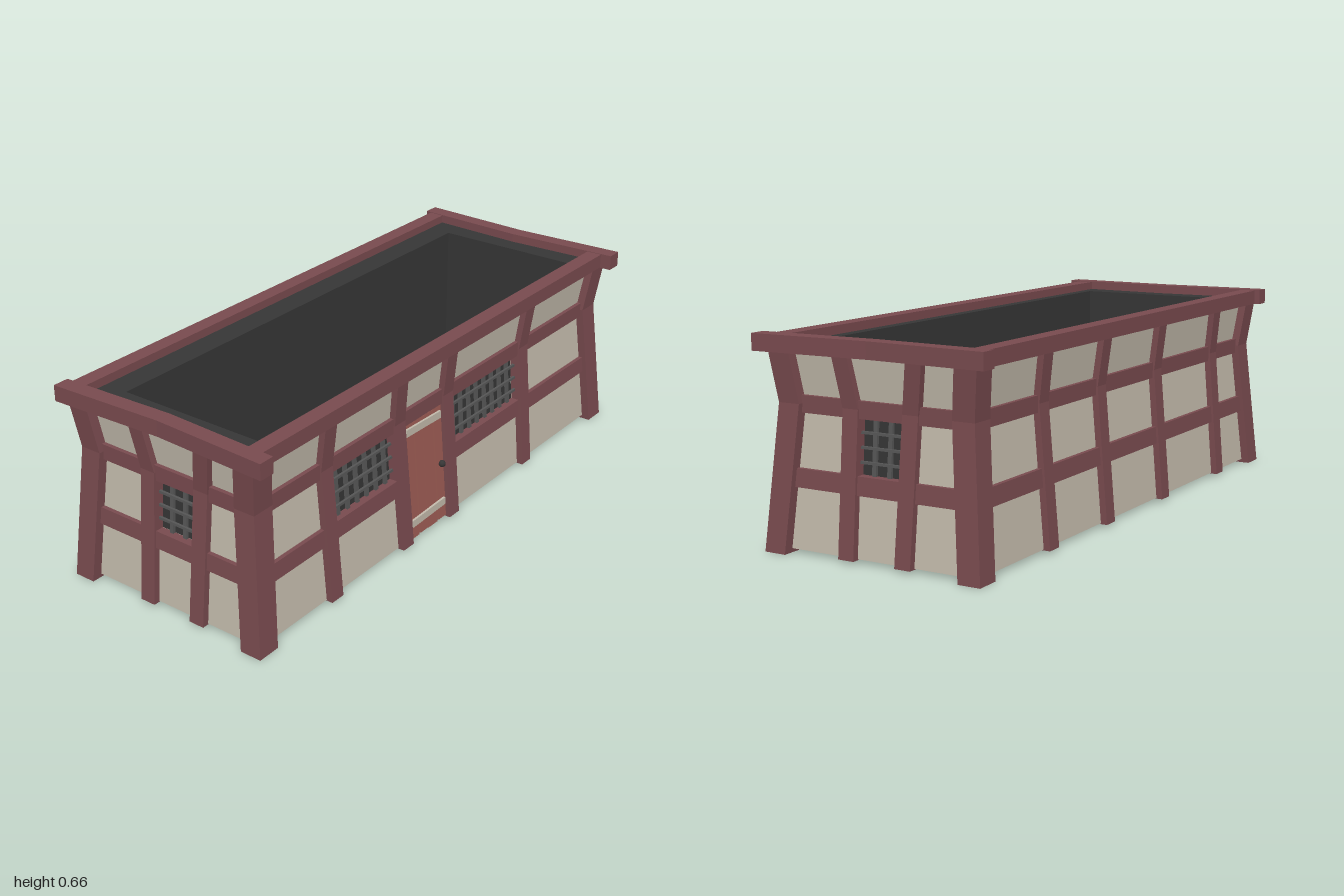
import * as THREE from 'three';

const paint = (name, color) => {
  const m = new THREE.MeshStandardMaterial({ color });
  m.name = name;
  return m;
};

// The walls lean in up to BEND and flare out again above it
const BEND = 0.455, TOP = 0.612, BASE = 0.013;
const flare = (y) => y < BEND ? -0.038 * y / BEND
  : -0.038 + 0.02 * (y - BEND) / (TOP - BEND);

function reshape(geometry, rule) {
  const g = geometry.index ? geometry.toNonIndexed() : geometry;
  const p = g.attributes.position;
  for (let i = 0; i < p.count; i++) p.setXYZ(i, ...rule(p.getX(i), p.getY(i), p.getZ(i)));
  g.computeVertexNormals();
  return g;
}

function rectPath(Type, x0, x1, y0, y1) {
  return new Type([[x0, y0], [x1, y0], [x1, y1], [x0, y1]].map((p) => new THREE.Vector2(...p)));
}

export function createModel() {
  const timber = paint('timber', 0x784a4e);
  const plaster = paint('plaster', 0xc1b9aa);
  const dark = paint('darkInterior', 0x363636);
  const iron = paint('iron', 0x555555);
  const doorRed = paint('doorWood', 0x9a5a52);
  const model = new THREE.Group();
  model.name = 'timberFramedHouse';

  const add = (parent, name, geometry, material) => {
    const mesh = new THREE.Mesh(geometry, material);
    mesh.name = name;
    parent.add(mesh);
    return mesh;
  };

  // One side of the house: u runs along the wall, d points outward
  function makeSide(name, turn, base, half) {
    const group = new THREE.Group();
    group.name = name;
    group.rotation.y = turn;
    model.add(group);

    // Box lying on the leaning wall, from depth d0 to d1
    const slab = (part, u0, u1, y0, y1, d0, d1, material) =>
      add(group, part, reshape(new THREE.BoxGeometry(1, 1, 1), (a, b, c) => {
        const y = b < 0 ? y0 : y1;
        return [a < 0 ? u0 : u1, y, base + flare(y) + (c < 0 ? d0 : d1)];
      }), material);

    // Bent post with its centre at the bottom, the bend and the top
    const post = (centres, width = 0.055) =>
      add(group, 'wallPost', reshape(new THREE.BoxGeometry(1, 1, 1, 1, 2, 1), (a, b, c) => {
        const k = Math.round((b + 0.5) * 2);
        const y = [BASE - 0.003, BEND, TOP][k];
        return [centres[k] + a * width, y, base + flare(y) + (c < 0 ? -0.015 : 0.022)];
      }), timber);

    // Plaster in two bands, with openings cut into the lower one
    const wall = (holes = []) => {
      [[BASE, BEND], [BEND, TOP]].forEach(([y0, y1], i) => {
        const a = half + flare(y0), b = half + flare(y1);
        const shape = new THREE.Shape([[-a, y0], [a, y0], [b, y1], [-b, y1]]
          .map((p) => new THREE.Vector2(...p)));
        if (i === 0) shape.holes = holes.map((h) => rectPath(THREE.Path, ...h));
        const g = new THREE.ExtrudeGeometry(shape, { depth: 0.022, bevelEnabled: false });
        add(group, i ? 'upperWall' : 'lowerWall',
          reshape(g, (x, y, z) => [x, y, base + flare(y) + z - 0.022]), plaster);
      });
    };

    // Iron lattice in an opening
    const lattice = (u0, u1, y0, y1) => {
      const n = Math.round((u1 - u0) / 0.05);
      for (let i = 1; i < n; i++) {
        const u = u0 + (u1 - u0) * i / n;
        slab('windowBar', u - 0.007, u + 0.007, y0, y1, -0.014, -0.005, iron);
      }
      for (let i = 1; i < 4; i++) {
        const y = y0 + (y1 - y0) * i / 4;
        slab('windowRail', u0, u1, y - 0.004, y + 0.004, -0.006, 0.002, iron);
      }
    };
    const rail = (u0, u1, y0, y1) => slab('wallRail', u0, u1, y0, y1, -0.015, 0.014, timber);
    return { group, base, slab, post, wall, lattice, rail };
  }

  // Front with door and two windows
  const front = makeSide('frontSide', 0, 0.35, 0.955);
  const frontWindows = [[-0.6, -0.26, 0.25, 0.435], [0.03, 0.46, 0.25, 0.435]];
  front.wall(frontWindows);
  frontWindows.forEach((w) => front.lattice(...w));
  [[-0.622, -0.622, -0.622], [-0.246, -0.252, -0.265], [0.018, 0.016, 0.01], [0.478, 0.478, 0.487]]
    .forEach((c) => front.post(c));
  front.rail(-0.94, -0.25, 0.203, 0.26);
  front.rail(0.02, 0.94, 0.203, 0.26);
  front.rail(-0.93, 0.93, 0.427, 0.48);

  // Door of uneven planks with straps and a knob
  front.slab('doorBacking', -0.225, -0.01, 0.015, 0.43, -0.005, 0.002, dark);
  const seams = [-0.222, -0.166, -0.119, -0.06, -0.014];
  for (let i = 0; i < 4; i++) {
    front.slab('doorPlank', seams[i] + 0.002, seams[i + 1] - 0.002,
      0.016 + 0.004 * (i % 2), 0.43 - 0.004 * (i % 3), 0, 0.009 + 0.002 * (i % 2), doorRed);
  }
  for (const [y, tilt] of [[0.077, 0.03], [0.398, -0.03]]) {
    const strap = add(front.group, 'doorStrap', new THREE.BoxGeometry(0.19, 0.026, 0.008), plaster);
    strap.position.set(-0.12, y, 0.35 + flare(y) + 0.014);
    strap.rotation.z = tilt;
  }
  const knob = add(front.group, 'doorKnob', new THREE.SphereGeometry(0.012, 10, 8), dark);
  knob.position.set(-0.033, 0.22, 0.35 + flare(0.22) + 0.018);

  // Plain back
  const back = makeSide('backSide', Math.PI, 0.36, 0.955);
  back.wall();
  [[-0.57, -0.57, -0.575], [-0.205, -0.205, -0.2], [0.2, 0.2, 0.2], [0.66, 0.66, 0.65]]
    .forEach((c) => back.post(c));
  back.rail(-0.94, 0.94, 0.203, 0.26);
  back.rail(-0.93, 0.93, 0.427, 0.48);

  // Two ends, each with a small window
  for (const s of [1, -1]) {
    const end = makeSide(s > 0 ? 'leftEnd' : 'rightEnd', s * Math.PI / 2, 0.965, 0.345);
    const opening = [-0.12, 0.095, 0.255, 0.43];
    end.wall([opening]);
    end.lattice(...opening);
    end.post([-0.085, -0.085, -0.108]);
    end.post([0.116, 0.126, 0.152]);
    end.rail(-0.33, 0.33, 0.203, 0.26);
    end.rail(-0.31, 0.31, 0.427, 0.48);
    // Top beam, bowed slightly inward
    add(end.group, 'endTopBeam', reshape(new THREE.BoxGeometry(0.81, 0.053, 0.055, 4), (x, y, z) =>
      [x, y + 0.6355, z + 0.9725 - 0.018 * (1 - Math.abs(x) / 0.405)]), timber);
  }

  // Long top beams
  for (const [name, z] of [['frontTopBeam', 0.338], ['backTopBeam', -0.358]]) {
    add(model, name, new THREE.BoxGeometry(1.92, 0.05, 0.055), timber).position.set(0, 0.635, z);
  }

  // Corner posts, leaning both ways
  for (const sx of [1, -1]) for (const sz of [1, -1]) {
    add(model, 'cornerPost', reshape(new THREE.BoxGeometry(1, 1, 1, 1, 2, 1), (a, b, c) => {
      const y = [0, BEND, TOP][Math.round((b + 0.5) * 2)];
      const x = (a * sx > 0 ? 0.998 : 0.918) + flare(y);
      const z = (c * sz > 0 ? 0.378 : 0.303) + (sz < 0 ? 0.01 : 0) + flare(y);
      return [sx * x, y, sz * z];
    }), timber);
  }

  // Dark hollow interior with a flat rim; shape y becomes -z
  const hollow = (name, x, zBack, zFront, y0, y1) => {
    const shape = rectPath(THREE.Shape, -x, x, -zFront, -zBack);
    shape.holes.push(rectPath(THREE.Path, -0.86, 0.86, -0.275, 0.245));
    const g = new THREE.ExtrudeGeometry(shape, { depth: y1 - y0, bevelEnabled: false });
    g.rotateX(-Math.PI / 2).translate(0, y0, 0);
    add(model, name, g, dark);
  };
  hollow('innerWalls', 0.893, -0.295, 0.29, 0.03, 0.615);
  hollow('roofRim', 0.945, -0.345, 0.33, 0.612, 0.632);
  add(model, 'innerFloor', new THREE.BoxGeometry(1.76, 0.01, 0.57), dark).position.set(0, 0.033, 0);

  // Underside
  add(model, 'foundation', new THREE.BoxGeometry(1.92, 0.015, 0.7), plaster)
    .position.set(0, BASE + 0.0075, -0.005);
  return model;
}
